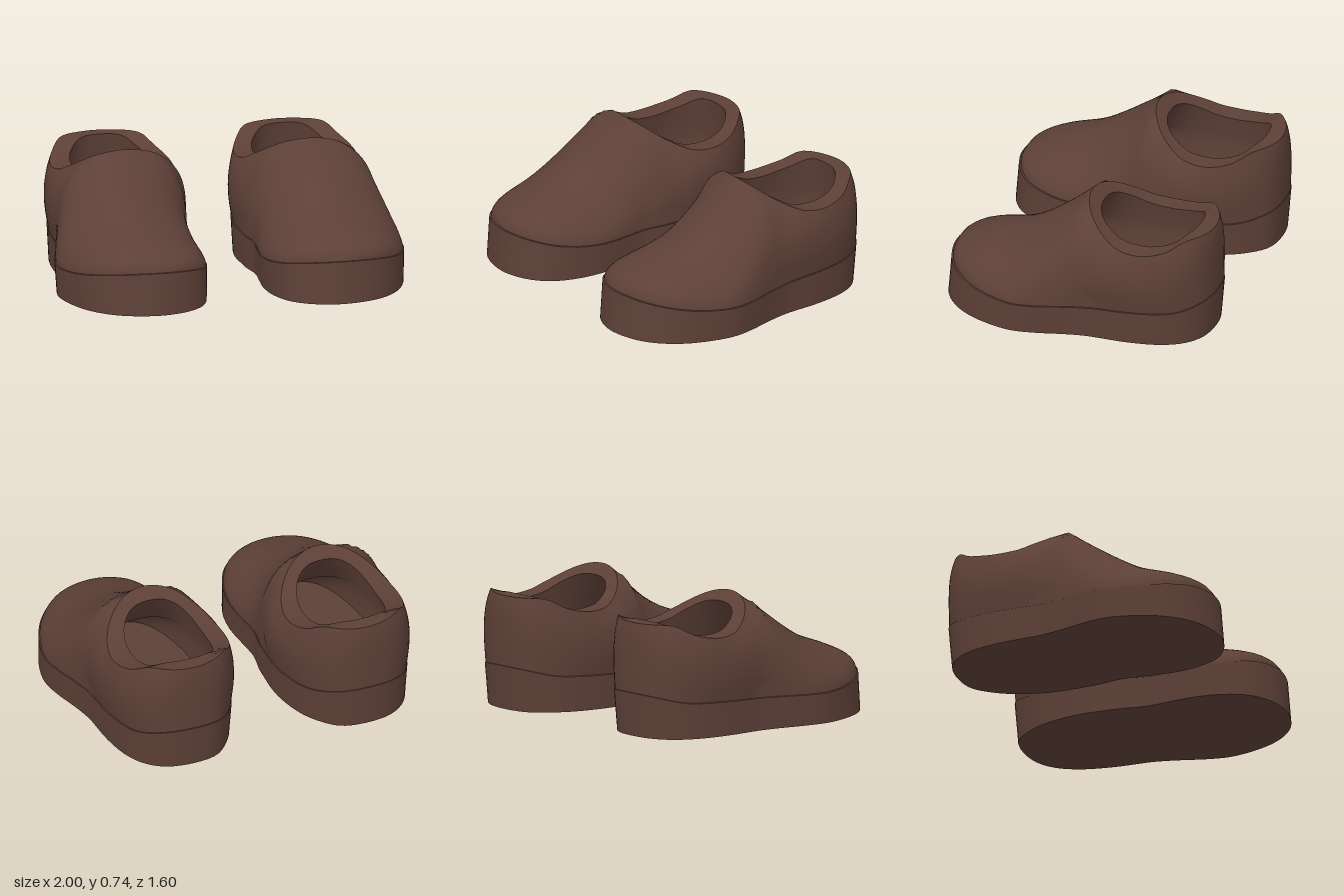
import * as THREE from 'three';

const N = 96; // columns around the shoe
const CX = 0.53, CZ = -0.41; // centre of the foot opening
const { lerp, smoothstep } = THREE.MathUtils;

// Plan outline of the left shoe (x, z), from the toe around the outer side
const OUTLINE = [
  [0.53, 0.78], [0.69, 0.75], [0.8, 0.69], [0.9, 0.58], [0.965, 0.44], [1.0, 0.27], [0.98, 0.13],
  [0.945, 0], [0.925, -0.15], [0.91, -0.4], [0.87, -0.58], [0.8, -0.7], [0.69, -0.775], [0.52, -0.8],
  [0.37, -0.775], [0.28, -0.7], [0.2, -0.58], [0.15, -0.42], [0.135, -0.28], [0.15, -0.1],
  [0.185, 0.05], [0.175, 0.2], [0.165, 0.36], [0.185, 0.51], [0.24, 0.64], [0.31, 0.71], [0.41, 0.76],
];
// Heights along z: sole seam, instep ridge and opening rim
const SEAM = [[-0.8, 0.25], [-0.65, 0.21], [-0.5, 0.2], [-0.1, 0.185], [0.27, 0.175], [0.45, 0.185], [0.6, 0.205], [0.78, 0.24]];
const RIDGE = [[-0.04, 0.74], [0, 0.7], [0.1, 0.625], [0.25, 0.525], [0.4, 0.44], [0.6, 0.365], [0.735, 0.3], [0.77, 0.25]];
const RIM = [[-0.78, 0.65], [-0.68, 0.648], [-0.6, 0.6], [-0.52, 0.575], [-0.42, 0.562], [-0.3, 0.575], [-0.22, 0.612], [-0.15, 0.655], [-0.04, 0.74]];
// Fullness of the forefoot cross-section along z
const FULLNESS = [[-0.04, 2.5], [0.25, 1.7], [0.5, 1.8], [0.75, 2.2]];

// Smooth curve through a list of (z, value) knots
function curveAt(k, z) {
  const n = k.length - 1;
  if (z <= k[0][0]) return k[0][1];
  if (z >= k[n][0]) return k[n][1];
  let i = 0;
  while (z > k[i + 1][0]) i++;
  const slope = (j) => {
    const a = k[Math.max(j - 1, 0)], b = k[Math.min(j + 1, n)];
    return (b[1] - a[1]) / (b[0] - a[0]);
  };
  const h = k[i + 1][0] - k[i][0], t = (z - k[i][0]) / h, t2 = t * t, t3 = t2 * t;
  return (2 * t3 - 3 * t2 + 1) * k[i][1] + (t3 - 2 * t2 + t) * h * slope(i)
    + (3 * t2 - 2 * t3) * k[i + 1][1] + (t3 - t2) * h * slope(i + 1);
}

// Skin closed rings of points; side = -1 mirrors to the right shoe
function loft(rings, side) {
  const pos = [], idx = [];
  for (const ring of rings) for (const p of ring) pos.push(p[0] * side, p[1], p[2]);
  for (let r = 0; r < rings.length - 1; r++) {
    for (let j = 0; j < N; j++) {
      const k = (j + 1) % N;
      const a = r * N + j, b = r * N + k, c = a + N, d = b + N;
      if (side > 0) idx.push(a, b, d, a, d, c);
      else idx.push(a, d, b, a, c, d);
    }
  }
  const g = new THREE.BufferGeometry();
  g.setAttribute('position', new THREE.Float32BufferAttribute(pos, 3));
  g.setIndex(idx);
  g.computeVertexNormals();
  return g;
}

// Left and right edge of an outline at a given z
function edgesAt(pts, z) {
  let lo = Infinity, hi = -Infinity;
  pts.forEach((p, i) => {
    const q = pts[(i + 1) % pts.length];
    if ((p[1] - z) * (q[1] - z) > 0 || p[1] === q[1]) return;
    const x = p[0] + (q[0] - p[0]) * (z - p[1]) / (q[1] - p[1]);
    lo = Math.min(lo, x);
    hi = Math.max(hi, x);
  });
  return [lo, hi];
}

function buildRings() {
  const curve = new THREE.CatmullRomCurve3(OUTLINE.map(([x, z]) => new THREE.Vector3(x, 0, z)), true);
  const edge = curve.getSpacedPoints(N).slice(0, N).map((p) => [p.x, p.z]);
  const inset = edge.map(([x, z]) => [0.55 + (x - 0.55) * 0.987, z * (z > 0 ? 0.988 : 0.996)]);
  // The heel is a little narrower at the sole than above it
  const narrow = ([x, z]) => [CX + (x - CX) * (1 - 0.045 * smoothstep(-z, -0.05, 0.2)), z];

  // Sole
  const top = edge.map(narrow).map(([x, z]) => [x, curveAt(SEAM, z), z]);
  const bottom = top.map(([x, , z]) => [0.55 + (x - 0.55) * 0.98, 0, z + 0.02]);
  const underside = bottom.map(() => [0.55, 0, 0]);
  const foot = inset.map(narrow).map(([x, z]) => [x, curveAt(SEAM, z) + 0.003, z]);

  // Opening rim, matched to the outline by direction
  const angles = inset.map(([x, z]) => Math.atan2((x - CX) / 0.34, (z - CZ) / 0.37));
  const rim = angles.map((a) => {
    const z = CZ + 0.37 * Math.cos(a);
    return [CX + 0.34 * Math.sin(a), curveAt(RIM, z), z];
  });
  const rounded = (v) => Math.sign(v) * Math.abs(v) ** 0.8;
  // Rings inside the opening; reach stretches them towards the toe
  const opening = (s, y, reach = 1) => angles.map((a) => {
    const c = rounded(Math.cos(a));
    const z = -0.4 + 0.29 * s * c * (c > 0 ? reach : 1);
    return [0.525 + 0.225 * s * rounded(Math.sin(a)), y ?? curveAt(RIM, z), z];
  });

  // Upper: domed over the forefoot, a full upright wall around the heel
  const dome = (x, z) => {
    const [lo, hi] = edgesAt(inset, z), base = curveAt(SEAM, z);
    if (!(hi > lo)) return base;
    const u = Math.min(1, Math.abs(2 * x - lo - hi) / (hi - lo)), p = curveAt(FULLNESS, z);
    return base + (curveAt(RIDGE, z) - base) * (1 - u ** p) ** (1 / p);
  };
  const upper = [foot];
  const ROWS = 20, END = 1.2;
  for (let r = 1; r <= ROWS; r++) {
    const t = r / ROWS;
    const sFront = (1 - Math.cos(END * t)) / (1 - Math.cos(END));
    const riseFront = Math.sin(END * t) / Math.sin(END);
    upper.push(foot.map((f, j) => {
      const e = rim[j], w = smoothstep(e[2], -0.28, -0.09);
      const s = lerp(t ** 5, sFront, w);
      const bulge = (inset[j][0] - f[0]) * 1.3 * Math.sin(Math.PI * t) * (1 - w);
      const x = lerp(f[0], e[0], s) + bulge, z = lerp(f[2], e[2], s);
      const wall = lerp(f[1], e[1], lerp(t, riseFront, w));
      const front = dome(x, z) + (e[1] - dome(e[0], e[2])) * s ** 3;
      return [x, lerp(wall, front, w), z];
    }));
  }
  return {
    soleUnderside: [underside, bottom],
    soleSide: [bottom, top],
    soleLedge: [top, foot],
    upper,
    openingRim: [rim, opening(1)],
    lining: [opening(1), opening(1.1, 0.46, 1.4), opening(1.15, 0.36, 1.9), opening(1.1, 0.25, 2.3)],
    insole: [opening(1.1, 0.25, 2.3), opening(0, 0.24)],
  };
}

export function createModel() {
  const brown = new THREE.MeshStandardMaterial({ color: 0x5d4037 });
  brown.name = 'brown';
  const model = new THREE.Group();
  model.name = 'clogs';
  const parts = buildRings();
  for (const side of [1, -1]) {
    const shoe = new THREE.Group();
    shoe.name = side > 0 ? 'leftClog' : 'rightClog';
    for (const [name, rings] of Object.entries(parts)) {
      const mesh = new THREE.Mesh(loft(rings, side), brown);
      mesh.name = name;
      shoe.add(mesh);
    }
    model.add(shoe);
  }
  return model;
}
